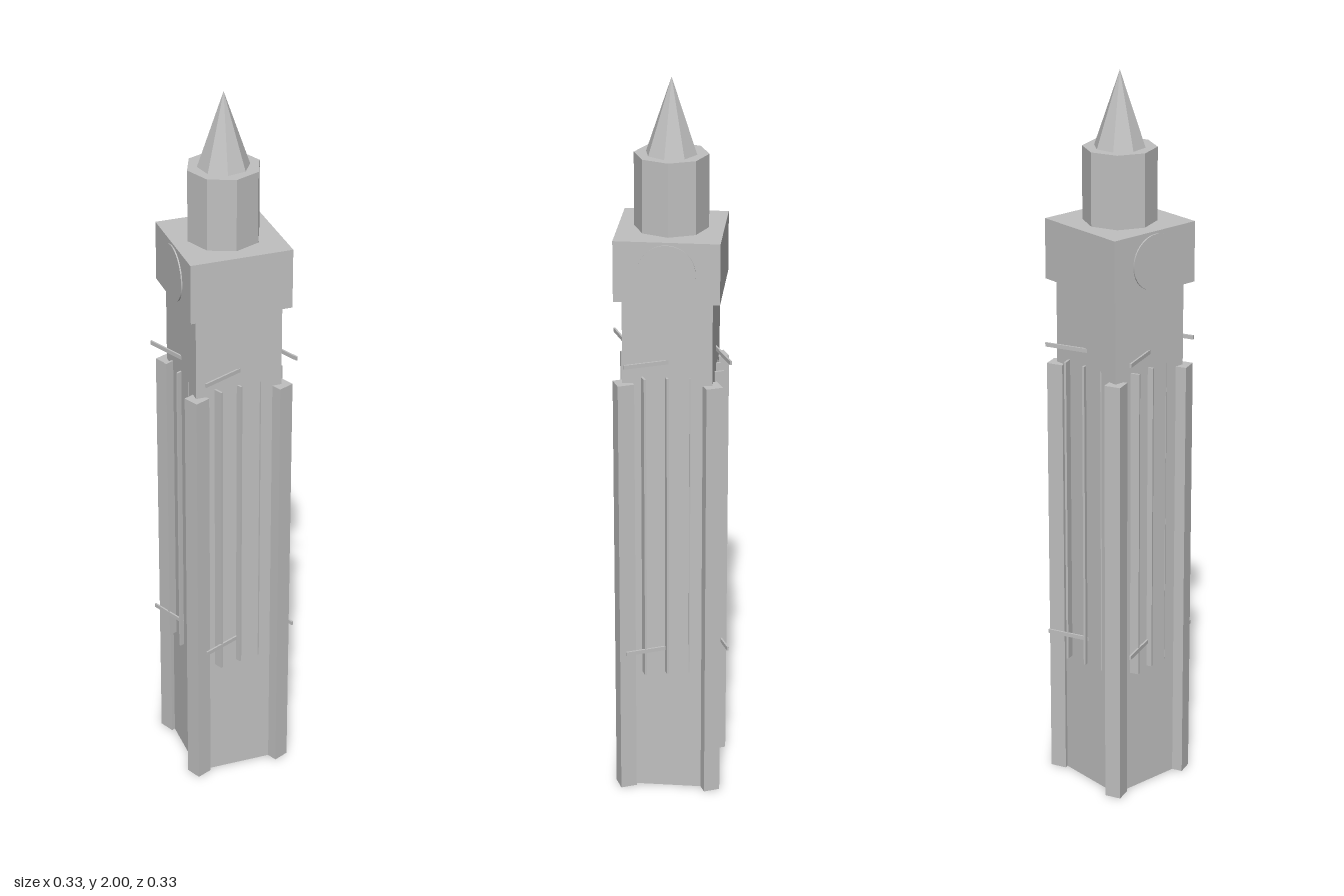
import * as THREE from 'three';

const TWIST = THREE.MathUtils.degToRad(12);
const HALF = 0.118; // half width of the shaft

export function createModel() {
  const model = new THREE.Group();
  model.name = 'clockTower';
  const stone = new THREE.MeshStandardMaterial({ color: 0xc0c0c0, side: THREE.DoubleSide });
  stone.name = 'paleStone';

  const add = (parent, name, geometry, x, y, z, turn = 0) => {
    const mesh = new THREE.Mesh(geometry, stone);
    mesh.name = name;
    mesh.position.set(x, y, z);
    mesh.rotation.y = turn;
    parent.add(mesh);
    return mesh;
  };
  // Prism with flat sides
  const prism = (top, bottom, height, sides, open = false) => {
    const g = new THREE.CylinderGeometry(top, bottom, height, sides, 1, open).toNonIndexed();
    g.computeVertexNormals();
    return g;
  };

  // Main body, turned as a whole
  const body = new THREE.Group();
  body.name = 'body';
  body.rotation.y = -TWIST;
  model.add(body);

  // Shaft, open underneath
  add(body, 'shaft', prism(HALF * Math.SQRT2, HALF * Math.SQRT2, 1.44, 4, true), 0, 0.72, 0, Math.PI / 4);
  add(body, 'clockStage', new THREE.BoxGeometry(0.276, 0.164, 0.276), 0, 1.523, 0);
  add(body, 'lantern', prism(0.0975, 0.0975, 0.196, 8), 0, 1.703, 0);

  // Clock faces on two opposite sides
  for (const side of [-1, 1]) {
    const face = add(body, 'clockFace', new THREE.CylinderGeometry(0.075, 0.075, 0.007, 40), side * 0.138, 1.523, 0);
    face.rotation.z = Math.PI / 2;
  }

  // Spire
  add(model, 'spire', prism(0, 0.0685, 0.2, 8), 0, 1.9, 0, Math.PI / 8);

  // Piers, bands and ribs repeat on every side, turned against the shaft
  const pier = new THREE.BoxGeometry(0.045, 1.21, 0.045);
  const band = new THREE.BoxGeometry(0.236, 0.011, 0.005);
  const rib = new THREE.BoxGeometry(0.006, 0.87, 0.025);
  for (let i = 0; i < 4; i++) {
    const side = new THREE.Group();
    side.name = 'sideTrim';
    side.rotation.y = i * Math.PI / 2;
    model.add(side);
    add(side, 'cornerPier', pier, -0.137, 0.605, 0.09, TWIST);
    for (const y of [0.434, 1.272]) add(side, 'band', band, -0.0245, y, 0.1145, TWIST);
    for (const k of [-1, 0, 1]) add(side, 'rib', rib, -0.027 + k * 0.06, 0.795, 0.116, TWIST);
  }
  return model;
}
